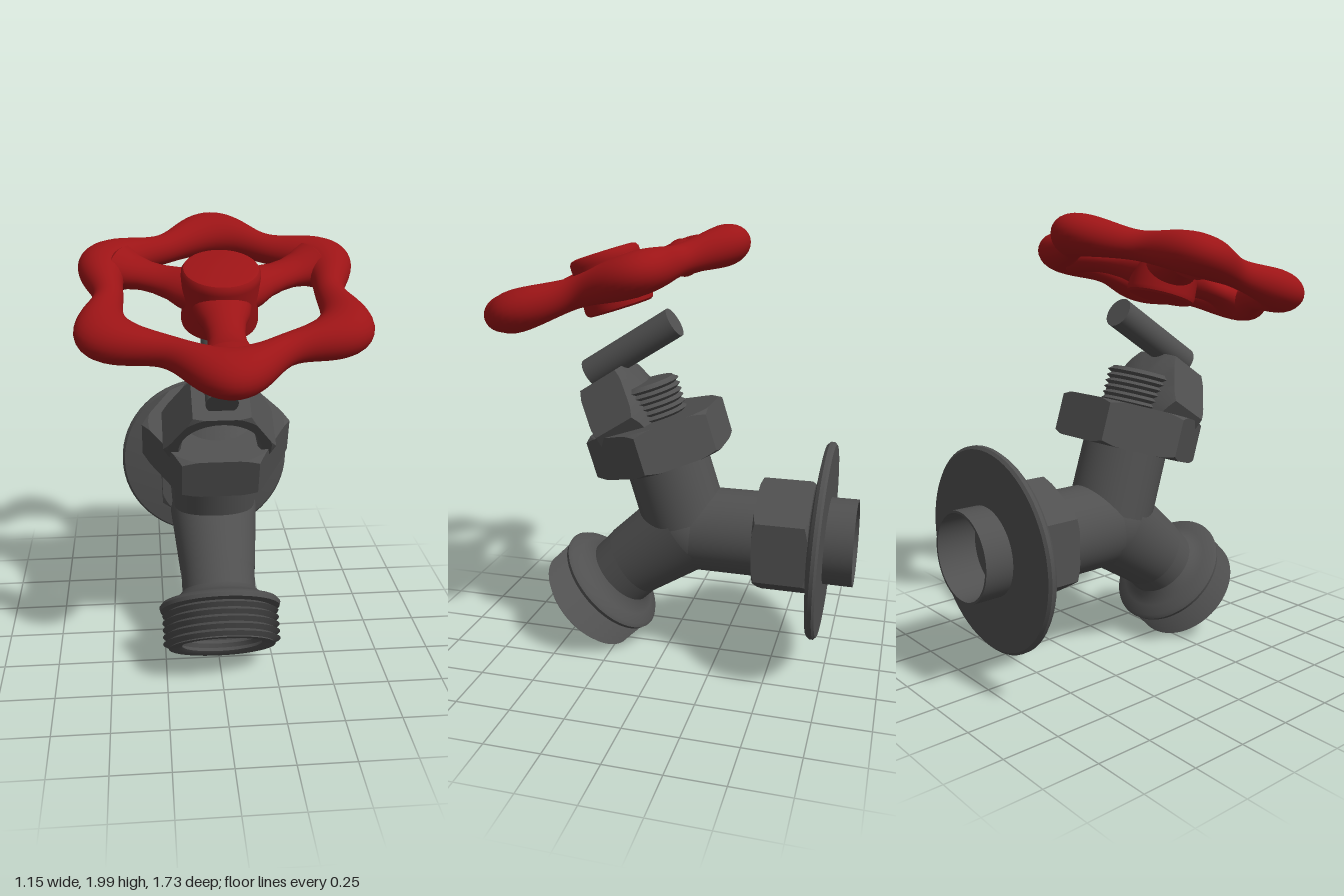
import * as THREE from 'three';
import { toCreasedNormals, mergeVertices } from 'three/addons/utils/BufferGeometryUtils.js';

const metal = new THREE.MeshStandardMaterial({ color: 0x505050, side: THREE.DoubleSide });
const red = new THREE.MeshStandardMaterial({ color: 0x9c1416 });

// Turned part; profile is [radius, height] from bottom to top
function turned(profile, segments = 64) {
  const points = profile.map(([r, y]) => new THREE.Vector2(r, y));
  return toCreasedNormals(new THREE.LatheGeometry(points, segments), 0.6);
}

// Hexagonal nut with chamfered corners; start and end are extra profile points for its two faces
function hexNut(apothem, height, start = [[0, 0]], end = [[0, height]], bevel = 0.55) {
  const corner = apothem / Math.cos(Math.PI / 6);
  const round = apothem + (corner - apothem) * 0.35;
  const profile = [...start, [round, 0], [corner, 0], [corner, height], [round, height], ...end];
  const geometry = new THREE.LatheGeometry(profile.map(([r, y]) => new THREE.Vector2(r, y)), 72);
  const position = geometry.attributes.position;
  for (let i = 0; i < position.count; i++) {
    const j = (i % profile.length) - start.length;
    if (j < 0 || j > 3) continue;
    const angle = Math.floor(i / profile.length) / 72 * Math.PI * 2;
    const step = Math.PI / 3;
    const hex = apothem / Math.cos(angle - Math.round(angle / step) * step);
    const side = j === 1 || j === 2;
    const r = side ? hex : Math.min(hex, round);
    const drop = side ? Math.max(0, hex - round) * bevel : 0;
    const y = j < 2 ? drop : height - drop;
    position.setXYZ(i, Math.sin(angle) * r, y, Math.cos(angle) * r);
  }
  return toCreasedNormals(geometry, 0.5);
}

// Saw-tooth thread profile between two heights
function thread(root, crest, from, to, count) {
  const points = [];
  const pitch = (to - from) / count;
  for (let i = 0; i < count; i++) {
    points.push([root, from + i * pitch], [crest, from + (i + 0.5) * pitch]);
  }
  points.push([root, to]);
  return points;
}

// Group whose own y axis leans by angle towards the front
function axisGroup(parent, name, y, z, angle) {
  const group = new THREE.Group();
  group.name = name;
  group.position.set(0, y, z);
  group.rotation.x = angle;
  parent.add(group);
  return group;
}

function add(parent, name, geometry, material = metal, y = 0) {
  const mesh = new THREE.Mesh(geometry, material);
  mesh.name = name;
  mesh.position.y = y;
  parent.add(mesh);
  return mesh;
}

// Six-lobed rim, thicker at the lobes
function wheelRim() {
  const geometry = new THREE.TorusGeometry(1, 0.5, 28, 144);
  const position = geometry.attributes.position;
  for (let i = 0; i < position.count; i++) {
    const x = position.getX(i), y = position.getY(i);
    const u = Math.atan2(y, x);
    const c = (Math.hypot(x, y) - 1) / 0.5, s = position.getZ(i) / 0.5;
    const lobe = -Math.cos(6 * u);
    const outer = 0.573 + 0.067 * lobe, inner = 0.4 + 0.015 * lobe;
    const r = (outer + inner) / 2 + c * (outer - inner) / 2;
    position.setXYZ(i, Math.cos(u) * r, Math.sin(u) * r, s * (0.075 + 0.012 * lobe));
  }
  geometry.deleteAttribute('uv');
  geometry.deleteAttribute('normal');
  const smooth = mergeVertices(geometry, 1e-5);
  smooth.rotateX(-Math.PI / 2);
  smooth.computeVertexNormals();
  return smooth;
}

export function createModel() {
  const model = new THREE.Group();
  model.name = 'gardenValve';
  const tilt = 0.304;

  // Inlet pipe, running to the back
  const inlet = axisGroup(model, 'inlet', 0.63, 0, -Math.PI / 2);
  add(inlet, 'inletPipe', turned([[0.193, 0.09], [0.195, 0.86], [0.185, 0.86], [0.185, 0.68], [0, 0.68]]));
  add(inlet, 'inletNut', hexNut(0.235, 0.24).rotateY(Math.PI / 2), metal, 0.43);
  const flange = add(inlet, 'wallFlange', turned([
    [0.19, -0.04], [0.28, -0.032], [0.39, -0.018], [0.43, -0.012],
    [0.442, 0.002], [0.442, 0.018], [0.43, 0.028], [0.19, 0.03]]), metal, 0.705);
  flange.rotation.x = -0.03;

  // Body where the three pipes meet
  const joint = axisGroup(model, 'bodyJoint', 0.634, -0.09, 0);
  add(joint, 'bodyBall', new THREE.SphereGeometry(0.2, 48, 32));

  // Spout with threaded outlet
  const neck = axisGroup(model, 'spoutNeck', 0.634, -0.09, Math.atan2(0.25, -0.192));
  add(neck, 'neckPipe', turned([[0.205, 0], [0.172, 0.33]]));
  const spout = axisGroup(model, 'spout', 0.634, -0.03, Math.atan2(0.704, -0.71));
  add(spout, 'spoutOutlet', turned([
    [0.17, 0.23], [0.168, 0.375], [0.185, 0.395], [0.22, 0.415], [0.265, 0.43], [0.277, 0.445], [0.272, 0.462],
    ...thread(0.235, 0.265, 0.468, 0.625, 5), [0.24, 0.631], [0.205, 0.631],
    ...thread(0.18, 0.195, 0.62, 0.48, 4), [0.17, 0.44], [0, 0.44]]));

  // Bonnet: pipe, large nut and threaded top
  const bonnet = axisGroup(model, 'bonnet', 0.634, -0.09, tilt);
  add(bonnet, 'bonnetPipe', turned([[0.194, 0], [0.192, 0.36]]));
  add(bonnet, 'bonnetNut', hexNut(0.286, 0.195), metal, 0.342);
  add(bonnet, 'bonnetThread', turned([
    [0.14, 0.53], ...thread(0.138, 0.157, 0.535, 0.695, 6), [0.135, 0.7], [0, 0.7]]));

  // Hollow packing nut, lying with its open end to the front
  const packing = axisGroup(model, 'packing', 1.207, 0.093, 2.142);
  add(packing, 'packingNut', hexNut(0.21, 0.217, [[0, -0.043], [0.07, -0.04]],
    [[0.178, 0.217], [0.165, 0.195], [0.165, 0.06], [0, 0.06]]));

  // Loose stem above the packing nut
  const stem = axisGroup(model, 'stem', 1.455, 0.173, Math.atan2(-0.394, 0.25));
  add(stem, 'stemRod', new THREE.CylinderGeometry(0.068, 0.068, 0.467, 40));

  // Handwheel
  const wheel = axisGroup(model, 'handwheel', 1.752, 0.262, tilt + 0.005);
  add(wheel, 'wheelRim', wheelRim(), red);
  add(wheel, 'wheelHub', turned([
    [0, -0.125], [0.142, -0.125], [0.153, -0.117], [0.157, -0.1], [0.15, 0], [0.158, 0.09],
    [0.157, 0.112], [0.148, 0.125], [0.13, 0.13], [0, 0.13]]), red);
  for (let i = 0; i < 3; i++) {
    const arm = new THREE.Group();
    arm.name = 'wheelSpoke';
    arm.rotation.y = i * Math.PI * 2 / 3;
    const spoke = add(arm, 'spokeArm', turned([
      [0.12, 0.08], [0.105, 0.15], [0.083, 0.21], [0.073, 0.28],
      [0.074, 0.34], [0.088, 0.4], [0.12, 0.46], [0.06, 0.52]], 32), red);
    spoke.rotation.x = Math.PI / 2;
    spoke.scale.z = 0.75;
    wheel.add(arm);
  }
  return model;
}
